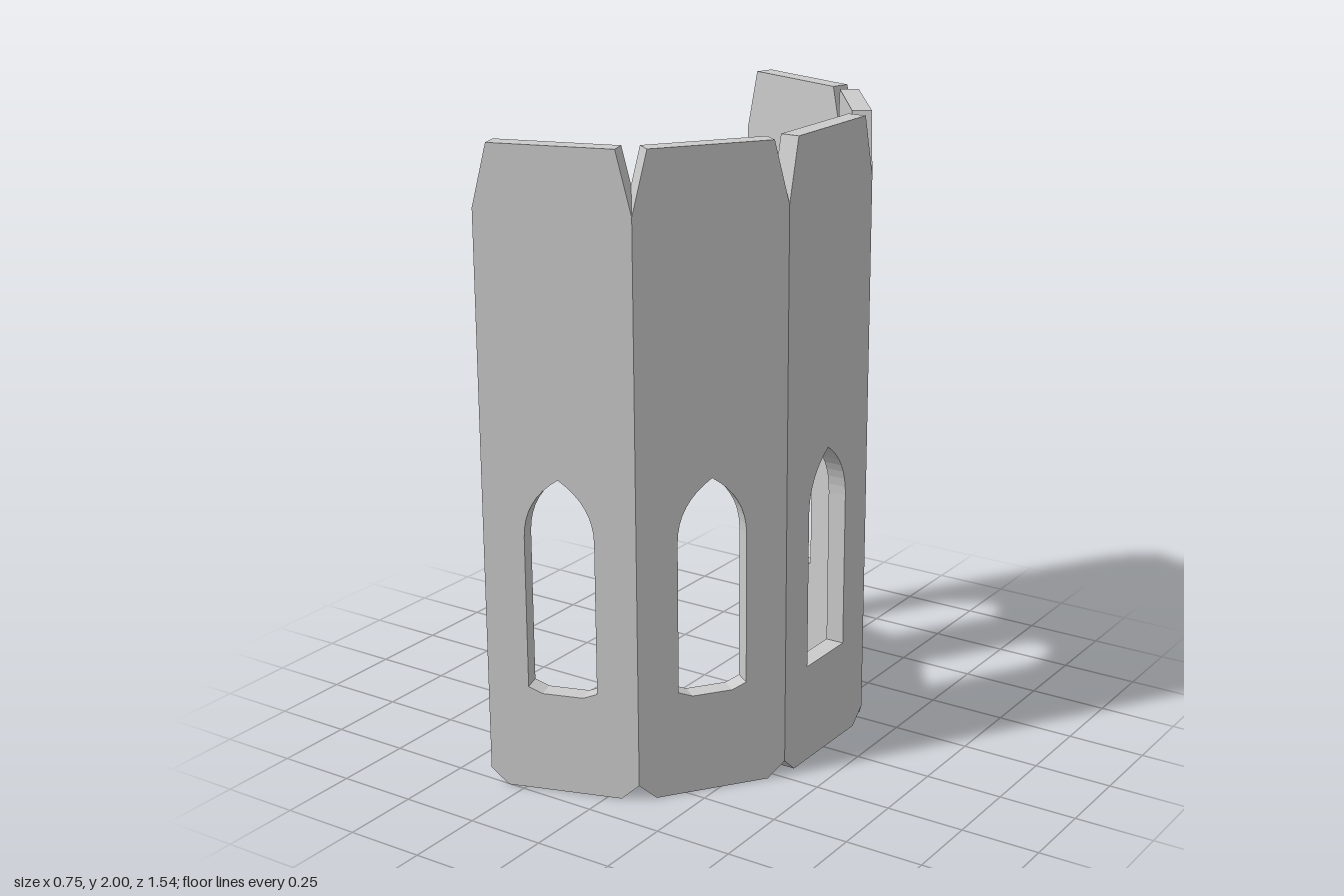
import * as THREE from 'three';

const HALF = 0.238;                                // half the width of one wall panel
const APOTHEM = HALF / Math.tan(Math.PI / 10);     // ten-sided plan
const THICK = 0.06;
const CENTRE_X = 0.3745 - APOTHEM;

// Pointed-arch window, optionally with small cut corners at the sill
function windowPath(cut) {
  const w = 0.109, sill = 0.32, spring = 0.82, apex = 1.01;
  const p = new THREE.Path();
  p.moveTo(-w, sill + cut * 0.4);
  if (cut) p.lineTo(-w + cut, sill);
  p.lineTo(w - cut, sill);
  if (cut) p.lineTo(w, sill + cut * 0.4);
  p.lineTo(w, spring);
  p.quadraticCurveTo(w, 0.94, 0, apex);
  p.quadraticCurveTo(-w, 0.94, -w, spring);
  p.closePath();
  return p;
}

// Wall panel with tapered top corners and clipped bottom corners
function panelGeometry(cut) {
  const outline = [
    [-0.182, 0], [0.182, 0], [HALF, 0.05], [HALF, 1.81],
    [0.191, 2], [-0.191, 2], [-HALF, 1.81], [-HALF, 0.05],
  ].map(([x, y]) => new THREE.Vector2(x, y));
  const shape = new THREE.Shape(outline);
  shape.holes.push(windowPath(cut));
  const geo = new THREE.ExtrudeGeometry(shape, { depth: THICK, bevelEnabled: false, curveSegments: 8 });
  return geo.translate(0, 0, APOTHEM - THICK);     // outer face lies on the apothem
}

export function createModel() {
  const model = new THREE.Group();
  model.name = 'towerWall';
  const material = new THREE.MeshStandardMaterial({ color: 0xcccccc, flatShading: true });
  const plain = panelGeometry(0);
  const clipped = panelGeometry(0.045);

  // Five panels fan around the +x side
  for (let i = -2; i <= 2; i++) {
    const panel = new THREE.Mesh(i === 0 ? plain : clipped, material);
    panel.name = `wallPanel${i + 3}`;
    panel.position.x = CENTRE_X;
    panel.rotation.y = Math.PI / 2 - i * Math.PI / 5;
    model.add(panel);
  }
  return model;
}
